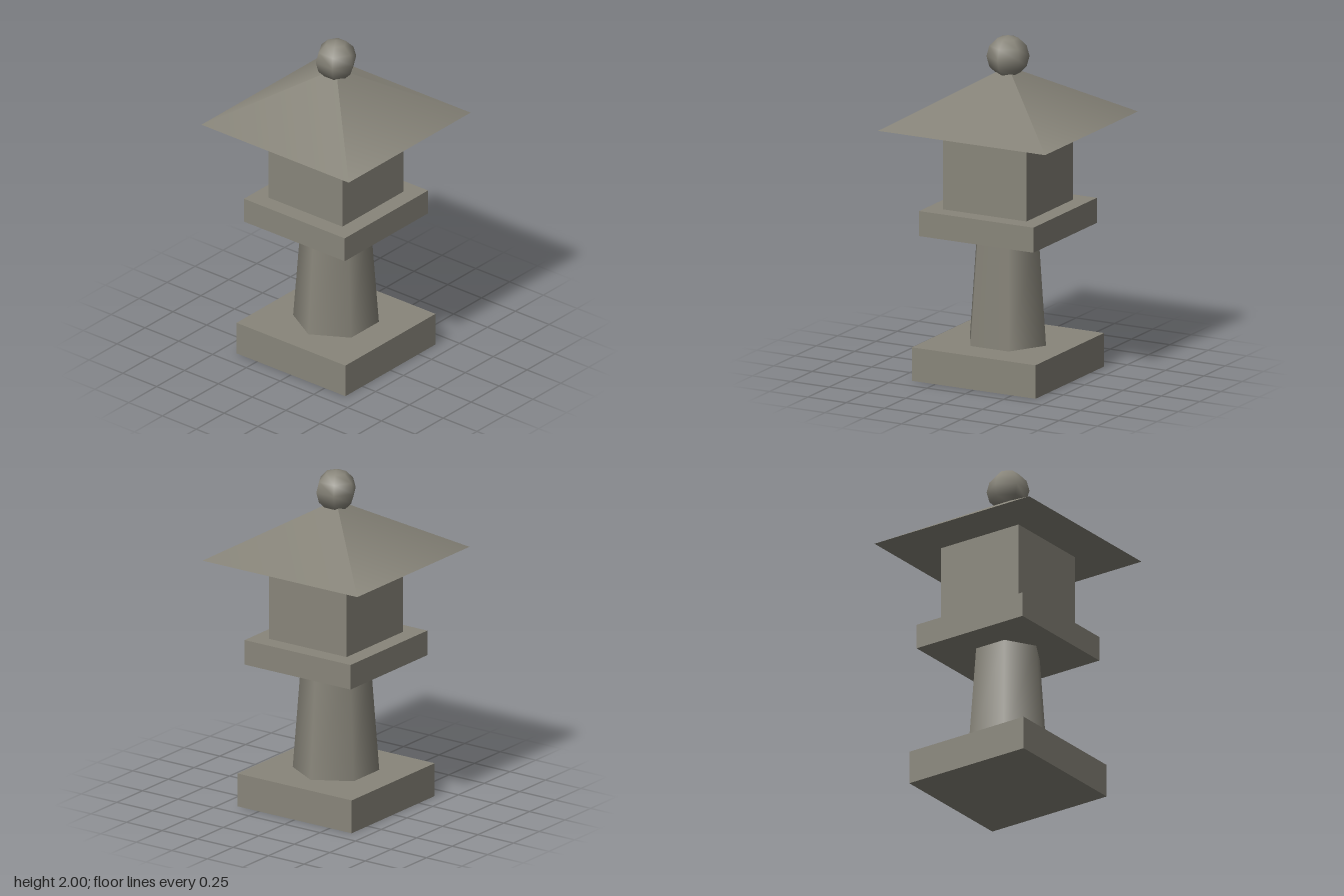
import * as THREE from 'three';

export function createModel() {
  const lantern = new THREE.Group();
  lantern.name = 'stoneLantern';
  const stone = new THREE.MeshStandardMaterial({ color: 0x88857a });
  stone.name = 'weathered stone';

  // Places a part so that its middle is at height y
  const add = (name, geometry, y) => {
    const mesh = new THREE.Mesh(geometry, stone);
    mesh.name = name;
    mesh.position.y = y;
    lantern.add(mesh);
    return mesh;
  };
  // Square slab between two heights
  const slab = (name, width, y0, y1) =>
    add(name, new THREE.BoxGeometry(width, y1 - y0, width), (y0 + y1) / 2);

  slab('base', 0.806, 0, 0.198);
  slab('platform', 0.746, 0.852, 1);
  slab('fireBox', 0.546, 1, 1.492);

  // Tapered six-sided post, smooth shaded
  add('post', new THREE.CylinderGeometry(0.199, 0.248, 0.654, 6), 0.525);

  // Pyramid roof with corners on the diagonals
  const roofHeight = 0.325;
  const roof = add('roof', new THREE.ConeGeometry(0.545 * Math.SQRT2, roofHeight, 4), 1.492 + roofHeight / 2);
  roof.rotation.y = Math.PI / 4;

  // Low-poly ball on top
  add('finial', new THREE.SphereGeometry(0.123, 6, 6), 1.877);

  return lantern;
}
